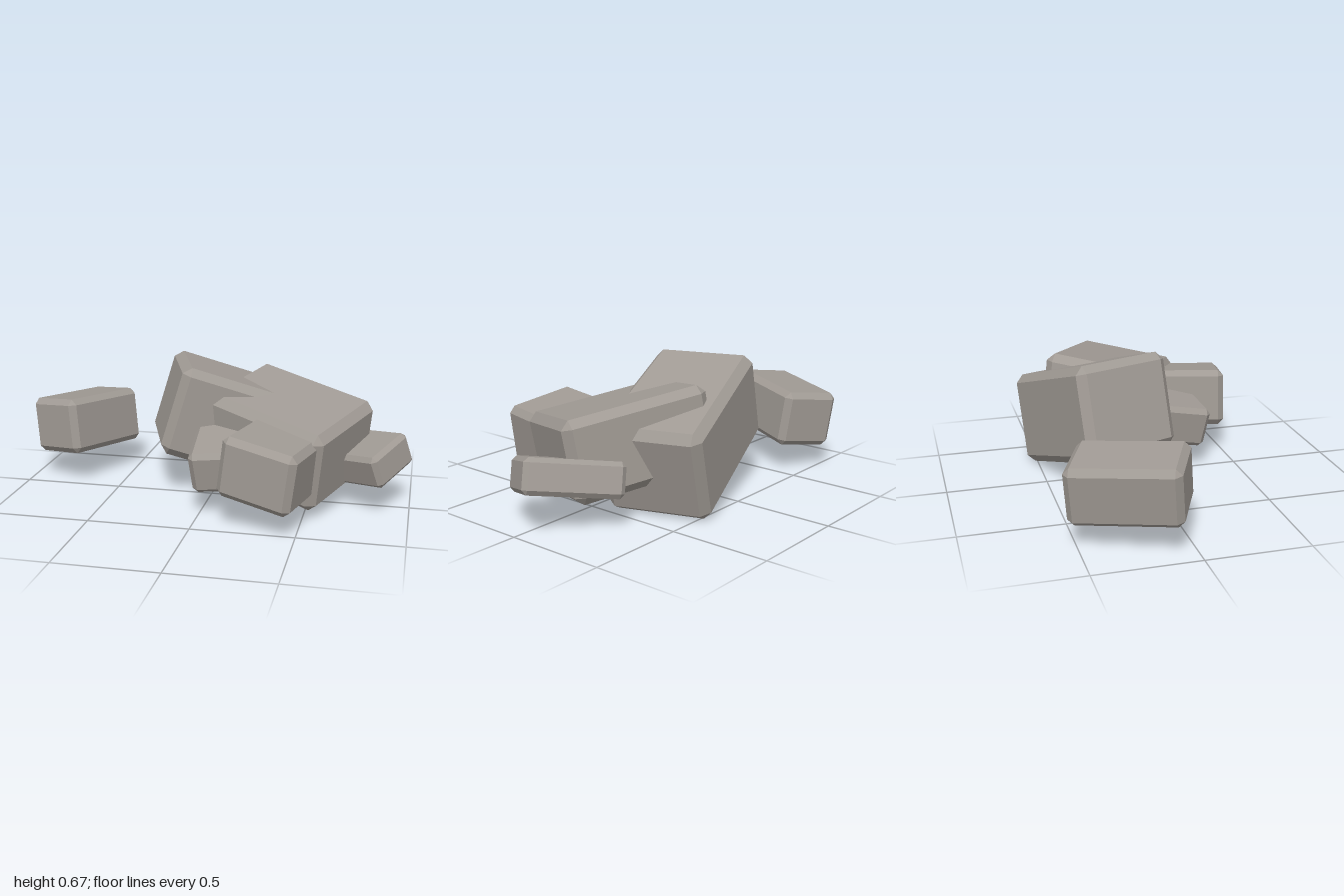
import * as THREE from 'three';
import { ConvexGeometry } from 'three/addons/geometries/ConvexGeometry.js';

const stone = new THREE.MeshStandardMaterial({ color: 0xa09a94 });
stone.name = 'stone';

// Slanted block with edge vectors u, v, w; every edge and corner is cut off by chamfer
function makeRock({ name, center, u, v, w, chamfer }) {
  const edges = [u, v, w].map((e) => new THREE.Vector3(...e));
  const halves = edges.map((e) => e.length() / 2 + chamfer * 0.3);
  edges.forEach((e) => e.normalize());

  // Three points near each of the eight corners
  const points = [];
  for (const x of [-1, 1]) for (const y of [-1, 1]) for (const z of [-1, 1]) {
    for (let full = 0; full < 3; full++) {
      const p = new THREE.Vector3();
      [x, y, z].forEach((side, i) => {
        p.addScaledVector(edges[i], side * (halves[i] - (i === full ? 0 : chamfer)));
      });
      points.push(p);
    }
  }
  const mesh = new THREE.Mesh(new ConvexGeometry(points), stone);
  mesh.name = name;
  mesh.position.set(...center);
  return mesh;
}

const rocks = [
  // Lone rock lying apart from the pile
  { name: 'separateRock', center: [-0.75, 0.275, -0.265], u: [0.21, -0.03, -0.45], v: [-0.03, 0.265, -0.025], w: [0.26, 0.035, 0.125], chamfer: 0.03 },
  // Two big slabs of the pile
  { name: 'largeBackRock', center: [0.1, 0.325, -0.235], u: [0.7, -0.24, -0.2], v: [0.125, 0.42, -0.03], w: [0.16, 0, 0.45], chamfer: 0.04 },
  { name: 'largeFrontRock', center: [0.37, 0.315, -0.08], u: [0.6, -0.11, 0.31], v: [0.04, 0.37, 0.05], w: [-0.22, -0.08, 0.46], chamfer: 0.04 },
  // Smaller rocks around them
  { name: 'frontRock', center: [0.355, 0.275, 0.34], u: [0.34, -0.06, 0.085], v: [0.035, 0.275, 0.005], w: [-0.09, 0, 0.36], chamfer: 0.03 },
  { name: 'smallFrontRock', center: [0.125, 0.25, 0.165], u: [0.33, 0.03, -0.02], v: [-0.02, 0.19, 0.035], w: [0.025, -0.065, 0.32], chamfer: 0.025 },
  { name: 'smallSideRock', center: [0.735, 0.22, -0.077], u: [0.36, 0.06, 0.26], v: [-0.045, 0.145, 0.025], w: [-0.14, -0.075, 0.24], chamfer: 0.022 },
];

export function createModel() {
  const group = new THREE.Group();
  group.name = 'rockPile';
  for (const rock of rocks) group.add(makeRock(rock));
  return group;
}
